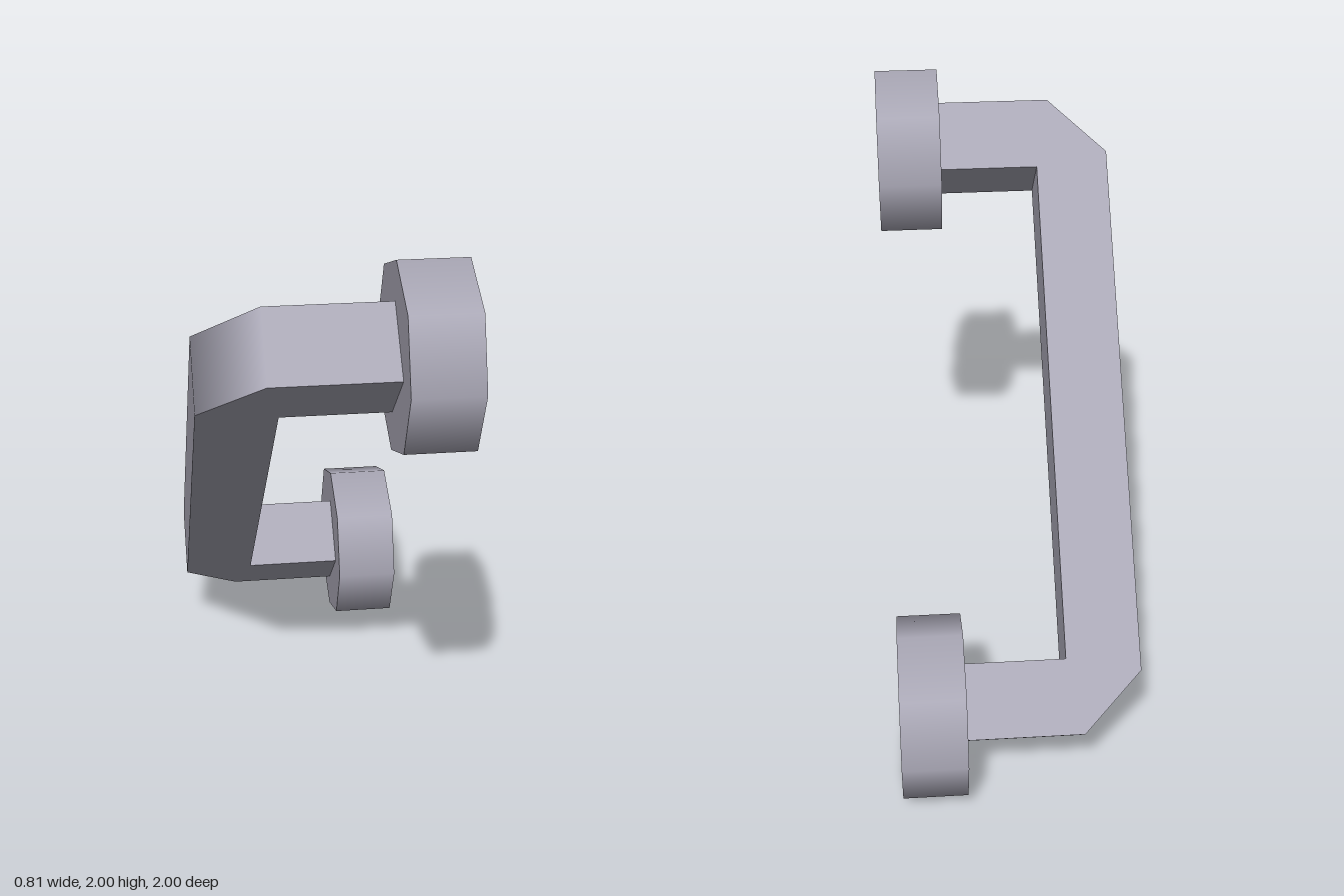
import * as THREE from 'three';

const SPREAD = 0.987;   // distance of each mount from the middle of the bar
const HALF = 0.125;     // half thickness of the square bar
const OUTER_X = -0.405; // outer face of the grip
const BEVEL = 0.2;

// Square bar bent into a bracket, with bevelled outer corners
function createBar() {
  const end = SPREAD + HALF, inner = SPREAD - HALF, tip = 0.2;
  const shape = new THREE.Shape([
    [tip, -inner], [OUTER_X + 2 * HALF, -inner], [OUTER_X + 2 * HALF, inner], [tip, inner],
    [tip, end], [OUTER_X + BEVEL, end], [OUTER_X, end - BEVEL],
    [OUTER_X, BEVEL - end], [OUTER_X + BEVEL, -end], [tip, -end],
  ].map(([x, y]) => new THREE.Vector2(x, y)));
  const geometry = new THREE.ExtrudeGeometry(shape, { depth: 2 * HALF, bevelEnabled: false });
  geometry.translate(0, 0, -HALF);

  // Bevels blend smoothly into the flat faces beside them
  const { position, normal } = geometry.attributes;
  for (let i = 0; i < position.count; i++) {
    if (Math.abs(Math.abs(normal.getX(i)) - Math.SQRT1_2) > 0.05) continue;
    if (position.getX(i) < OUTER_X + 0.01) normal.setXYZ(i, -1, 0, 0);
    else normal.setXYZ(i, 0, Math.sign(position.getY(i)), 0);
  }
  return geometry;
}

export function createModel() {
  const metal = new THREE.MeshStandardMaterial({ color: 0xaaa8b6 });
  metal.name = 'grey metal';

  const model = new THREE.Group();
  model.name = 'handle';

  const bar = new THREE.Mesh(createBar(), metal);
  bar.name = 'gripBar';
  model.add(bar);

  // Octagonal mounting discs at both ends
  const discGeometry = new THREE.CylinderGeometry(0.302, 0.302, 0.217, 8);
  discGeometry.rotateZ(-Math.PI / 2);
  for (const side of [1, -1]) {
    const disc = new THREE.Mesh(discGeometry, metal);
    disc.name = side > 0 ? 'upperMount' : 'lowerMount';
    disc.position.set(0.294, side * SPREAD, 0);
    model.add(disc);
  }

  // Tilt the handle so it rises towards the front
  model.rotation.x = Math.PI / 4;
  model.position.y = 1;
  const root = new THREE.Group();
  root.name = 'pullHandle';
  root.add(model);
  return root;
}
